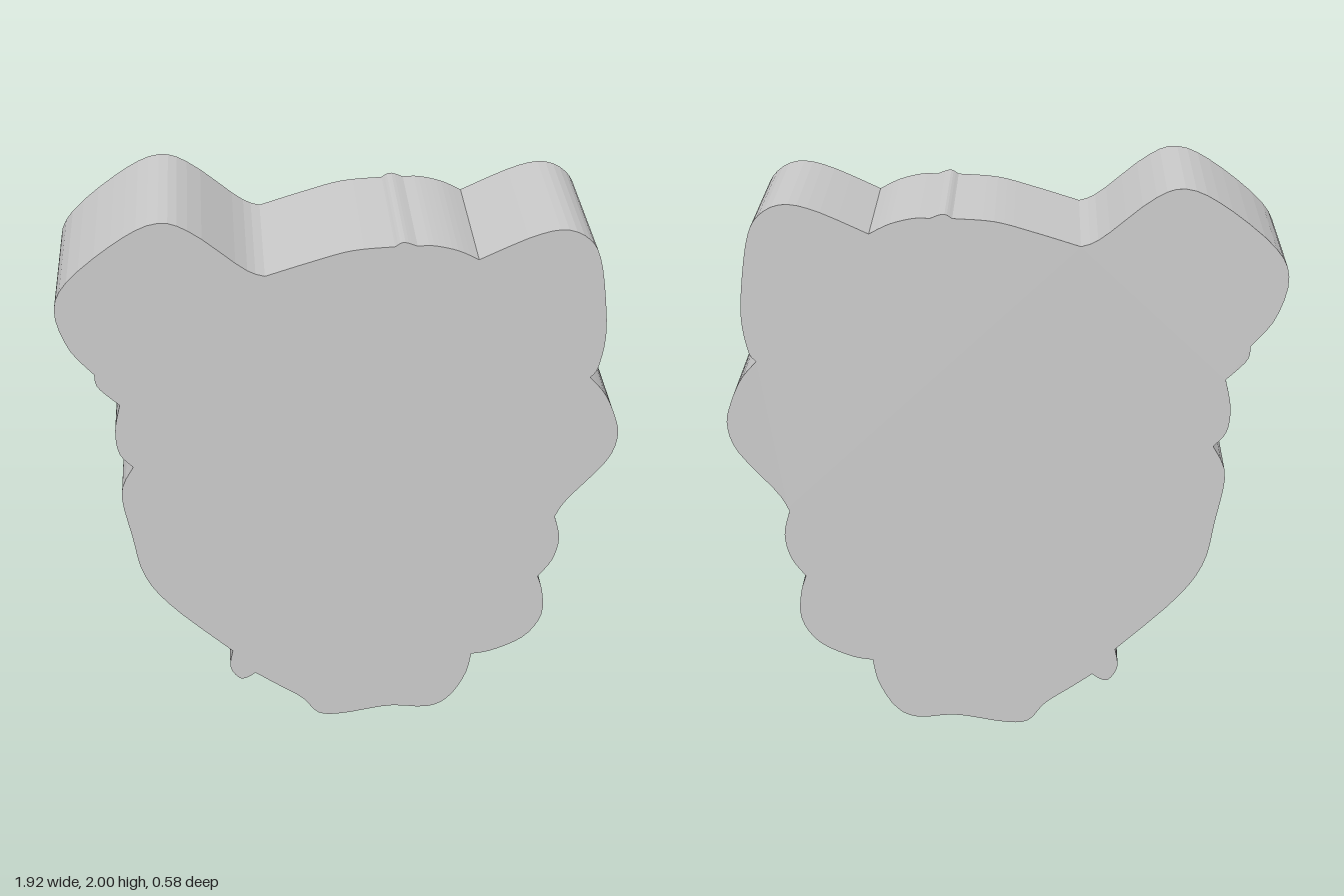
import * as THREE from 'three';

// Outline as rounded lobes, counter-clockwise from the bottom.
// Each lobe starts at the crease where the previous one ends.
const start = [-0.32, 0.2];
const chin = [[-0.25, 0.15], [-0.15, 0.08], [-0.09, 0.01], [0, 0.003], [0.17, 0.03], [0.31, 0.02], [0.39, 0.06], [0.45, 0.16], [0.47, 0.25]];
const leftJaw = [[0.55, 0.265], [0.66, 0.32], [0.72, 0.41], [0.72, 0.51], [0.7, 0.58]];
const leftLowerCheek = [[0.75, 0.65], [0.77, 0.74], [0.75, 0.83]];
const leftCheek = [[0.79, 0.9], [0.92, 1.05], [0.955, 1.15], [0.94, 1.23], [0.9, 1.32], [0.845, 1.385]];
const leftEar = [[0.87, 1.42], [0.89, 1.53], [0.885, 1.65], [0.86, 1.82], [0.82, 1.9], [0.74, 1.94], [0.63, 1.92], [0.45, 1.84]];
const brow = [[0.38, 1.875], [0.3, 1.895], [0.245, 1.895]];
const tuft = [[0.2, 1.91], [0.17, 1.895]];
const crown = [[0.03, 1.885], [-0.1, 1.85], [-0.26, 1.8]];
const rightEar = [[-0.33, 1.83], [-0.5, 1.965], [-0.61, 2], [-0.74, 1.94], [-0.91, 1.8], [-0.96, 1.69], [-0.92, 1.55], [-0.84, 1.45]];
const rightNotch = [[-0.83, 1.4], [-0.76, 1.33]];
const rightCheek = [[-0.78, 1.23], [-0.77, 1.14], [-0.725, 1.085]];
const rightJaw = [[-0.77, 0.98], [-0.74, 0.8], [-0.705, 0.64], [-0.61, 0.5], [-0.4, 0.3]];
const smallBump = [[-0.41, 0.23], [-0.38, 0.18], [-0.35, 0.18], [-0.32, 0.2]];

const lobes = [chin, leftJaw, leftLowerCheek, leftCheek, leftEar, brow, tuft, crown,
  rightEar, rightNotch, rightCheek, rightJaw, smallBump];

export function createModel() {
  const depth = 0.58;
  const shape = new THREE.Shape();
  shape.moveTo(...start);
  for (const lobe of lobes) shape.splineThru(lobe.map(([x, y]) => new THREE.Vector2(x, y)));

  // Solid slab with straight walls, centred in depth
  const geometry = new THREE.ExtrudeGeometry(shape, { depth, curveSegments: 3, bevelEnabled: false });
  geometry.translate(0, 0, -depth / 2);

  const slab = new THREE.Mesh(geometry, new THREE.MeshStandardMaterial({ color: 0xcccccc }));
  slab.name = 'headSilhouetteSlab';
  const model = new THREE.Group();
  model.name = 'headSilhouette';
  model.add(slab);
  return model;
}
